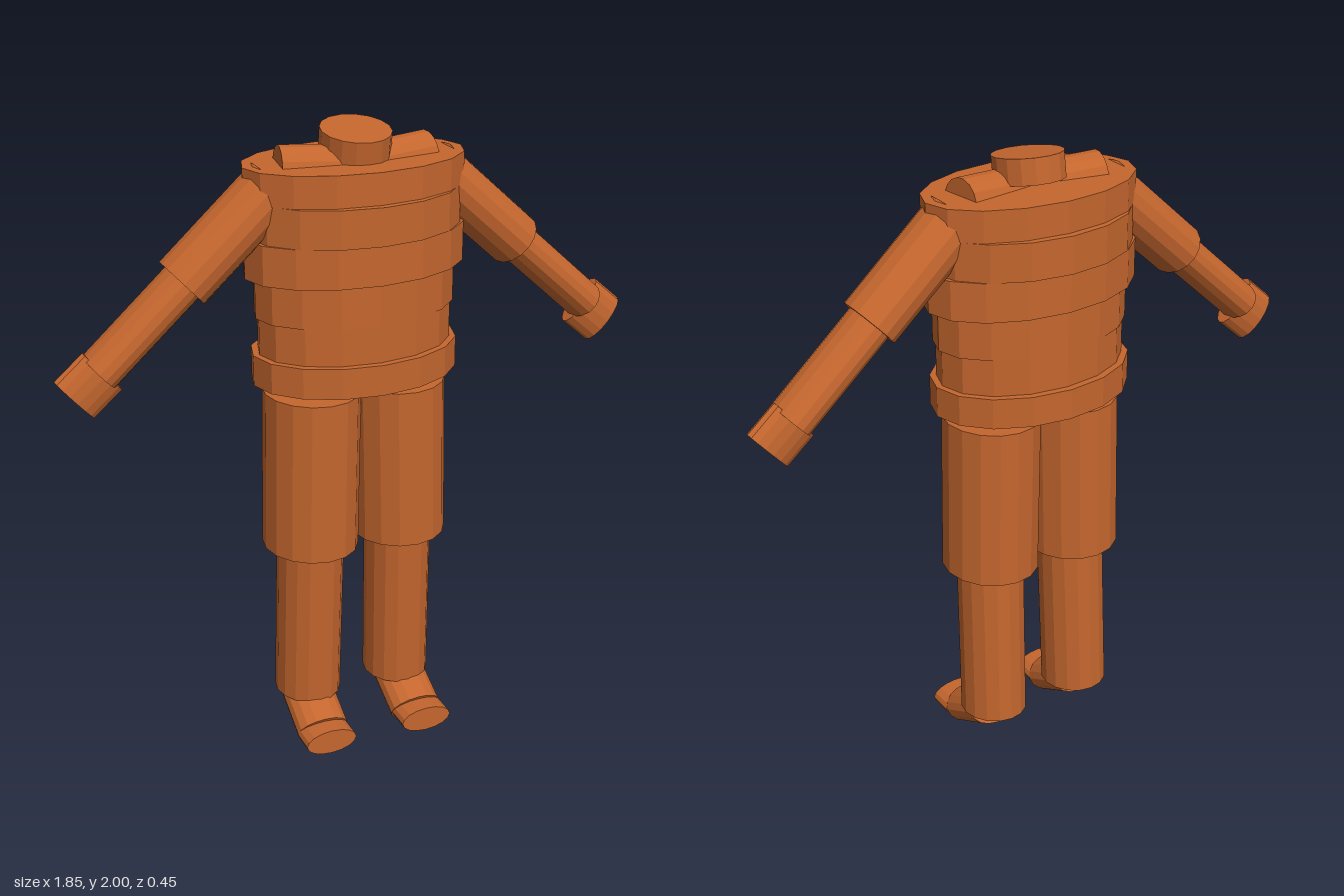
import * as THREE from 'three';

const clay = new THREE.MeshStandardMaterial({ color: 0xc4662e, flatShading: true });
clay.name = 'terracotta';
const UP = new THREE.Vector3(0, 1, 0);

// Elliptical cylinder from point a to point b; rx and rz are its two radii
function segment(name, a, b, rx, rz) {
  const start = new THREE.Vector3(...a), end = new THREE.Vector3(...b);
  const dir = end.clone().sub(start);
  const geometry = new THREE.CylinderGeometry(1, 1, dir.length(), 16);
  geometry.scale(rx, 1, rz);
  const mesh = new THREE.Mesh(geometry, clay);
  mesh.name = name;
  mesh.position.copy(start).add(end).multiplyScalar(0.5);
  mesh.quaternion.setFromUnitVectors(UP, dir.normalize());
  return mesh;
}

export function createModel() {
  const model = new THREE.Group();
  model.name = 'segmentedFigure';

  // Torso: stacked oval slabs [bottom, top, x radius, z radius]
  const torso = new THREE.Group();
  torso.name = 'torso';
  const slabs = [
    ['hips', 1.235, 1.33, 0.325, 0.226],
    ['waist', 1.33, 1.445, 0.305, 0.203],
    ['abdomen', 1.445, 1.57, 0.315, 0.203],
    ['ribs', 1.57, 1.69, 0.345, 0.216],
    ['chest', 1.69, 1.805, 0.33, 0.226],
    ['upperChest', 1.805, 1.9, 0.345, 0.203],
  ];
  for (const [name, y0, y1, rx, rz] of slabs) {
    torso.add(segment(name, [0, y0, 0], [0, y1, 0], rx, rz));
  }
  model.add(torso);

  // Neck, leaning forward
  model.add(segment('neck', [0, 1.907, 0.002], [0, 1.983, 0.014], 0.105, 0.112));

  for (const s of [1, -1]) {
    const side = s > 0 ? 'left' : 'right';
    const add = (group, name, a, b, rx, rz) =>
      group.add(segment(side + name, [s * a[0], a[1], a[2]], [s * b[0], b[1], b[2]], rx, rz));

    // Shoulder and arm
    const arm = new THREE.Group();
    arm.name = side + 'Arm';
    add(arm, 'Collarbone', [0, 1.87, 0.03], [0.235, 1.882, -0.006], 0.071, 0.071);
    add(arm, 'UpperArm', [0.25, 1.843, 0], [0.535, 1.585, 0], 0.085, 0.1);
    add(arm, 'Forearm', [0.52, 1.6, 0], [0.795, 1.352, 0], 0.062, 0.08);
    add(arm, 'Hand', [0.783, 1.353, 0], [0.87, 1.278, 0], 0.084, 0.04);
    model.add(arm);

    // Leg and foot
    const leg = new THREE.Group();
    leg.name = side + 'Leg';
    add(leg, 'Thigh', [0.15, 0.68, 0], [0.14, 1.197, 0], 0.149, 0.161);
    add(leg, 'Shin', [0.157, 0.143, -0.022], [0.15, 0.69, 0], 0.105, 0.113);
    add(leg, 'Foot', [0.165, 0.057, 0.127], [0.163, 0.14, -0.027], 0.085, 0.061);
    add(leg, 'Toes', [0.167, 0.058, 0.13], [0.167, 0.058, 0.21], 0.085, 0.041);
    model.add(leg);
  }
  return model;
}
